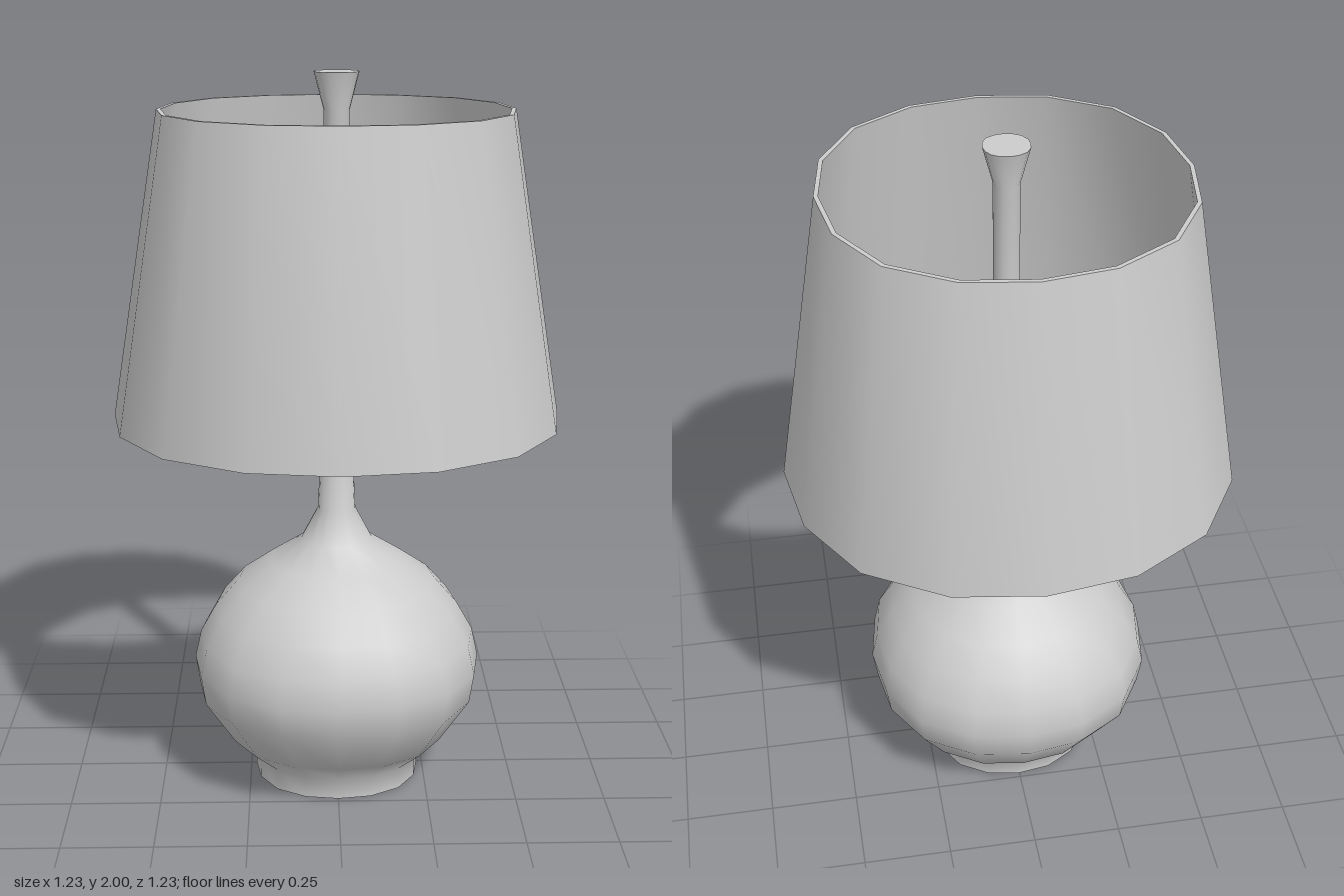
import * as THREE from 'three';
import { toCreasedNormals } from 'three/addons/utils/BufferGeometryUtils.js';

const material = new THREE.MeshStandardMaterial({ color: 0xcccccc });

// Sixteen-sided turned part, slightly fuller on the diagonals
function turned(name, profile) {
  const geo = new THREE.LatheGeometry(profile.map(([r, y]) => new THREE.Vector2(r, y)), 16);
  const pos = geo.attributes.position;
  for (let i = 0; i < pos.count; i++) {
    const x = pos.getX(i), z = pos.getZ(i);
    const k = 1 + 0.037 * Math.sin(2 * Math.atan2(z, x)) ** 2;
    pos.setX(i, x * k);
    pos.setZ(i, z * k);
  }
  const mesh = new THREE.Mesh(toCreasedNormals(geo, 1.0), material);
  mesh.name = name;
  return mesh;
}

export function createModel() {
  const lamp = new THREE.Group();
  lamp.name = 'tableLamp';

  // Foot, gourd body, slim neck and flared finial in one turned piece
  lamp.add(turned('base', [
    [0, 0], [0.235, 0], [0.235, 0.06], [0.31, 0.125], [0.395, 0.255],
    [0.408, 0.34], [0.39, 0.42], [0.345, 0.5], [0.28, 0.575], [0.19, 0.64],
    [0.1, 0.7], [0.053, 0.79], [0.04, 1.07], [0.035, 1.5], [0.035, 1.9],
    [0.061, 2], [0.04, 2], [0, 2],
  ]));

  // Open tapered shade with a thin wall
  lamp.add(turned('shade', [
    [0.617, 1.065], [0.48, 1.902], [0.468, 1.902], [0.604, 1.065], [0.617, 1.065],
  ]));

  return lamp;
}
